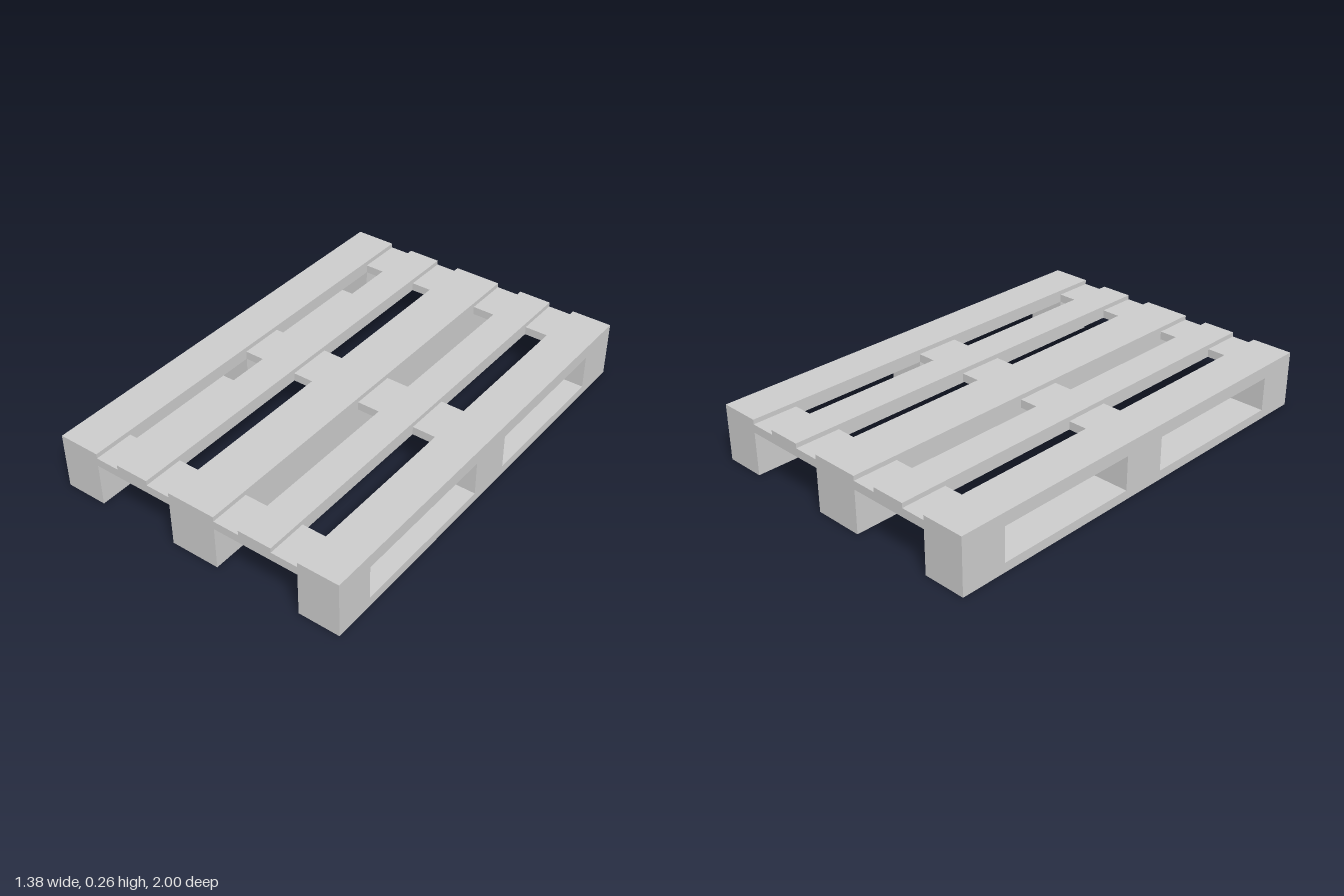
import * as THREE from 'three';

const material = new THREE.MeshStandardMaterial({ color: 0xcccccc, flatShading: true });

const TOP = 0.257;      // upper face of slats and runners
const UNDER = 0.198;    // underside of the deck
const CROSS_TOP = 0.236;
const HOLE_FLOOR = 0.042;
const BAYS = [[-0.79, -0.11], [0.10, 0.815]]; // open z ranges between cross boards

function rect(path, x0, y0, x1, y1) {
  path.moveTo(x0, y0);
  path.lineTo(x1, y0);
  path.lineTo(x1, y1);
  path.lineTo(x0, y1);
  path.closePath();
  return path;
}

function block(name, [x0, x1], [y0, y1], [z0, z1]) {
  const mesh = new THREE.Mesh(new THREE.BoxGeometry(x1 - x0, y1 - y0, z1 - z0), material);
  mesh.position.set((x0 + x1) / 2, (y0 + y1) / 2, (z0 + z1) / 2);
  mesh.name = name;
  return mesh;
}

// Outer runner: side profile with two openings, extruded across x
function sideRunner(name, x0, x1) {
  const shape = rect(new THREE.Shape(), -1, 0, 1, TOP);
  for (const [z0, z1] of BAYS) {
    shape.holes.push(rect(new THREE.Path(), -z1, HOLE_FLOOR, -z0, UNDER));
  }
  const geometry = new THREE.ExtrudeGeometry(shape, { depth: x1 - x0, bevelEnabled: false });
  geometry.rotateY(Math.PI / 2); // shape x becomes -z, depth becomes +x
  geometry.translate(x0, 0, 0);
  const mesh = new THREE.Mesh(geometry, material);
  mesh.name = name;
  return mesh;
}

export function createModel() {
  const model = new THREE.Group();
  model.name = 'pallet';

  // Runners
  model.add(sideRunner('rightRunner', -0.69, -0.497));
  model.add(sideRunner('leftRunner', 0.503, 0.69));
  model.add(block('centreRunner', [-0.117, 0.108], [0, TOP], [-1, 1]));

  // Narrow deck slats
  const slats = [[-0.385, -0.23], [0.228, 0.382]];
  for (const xs of slats) model.add(block('deckSlat', xs, [UNDER, TOP], [-1, 1]));

  // Cross board pieces filling the gaps between runners and slats
  const gaps = [[-0.497, -0.385], [-0.23, -0.117], [0.108, 0.228], [0.382, 0.503]];
  const crossBoards = [[-1, BAYS[0][0]], [BAYS[0][1], BAYS[1][0]], [BAYS[1][1], 1]];
  for (const zs of crossBoards) {
    const board = new THREE.Group();
    board.name = 'crossBoard';
    for (const xs of gaps) board.add(block('crossBoardPiece', xs, [UNDER, CROSS_TOP], zs));
    model.add(board);
  }

  return model;
}
